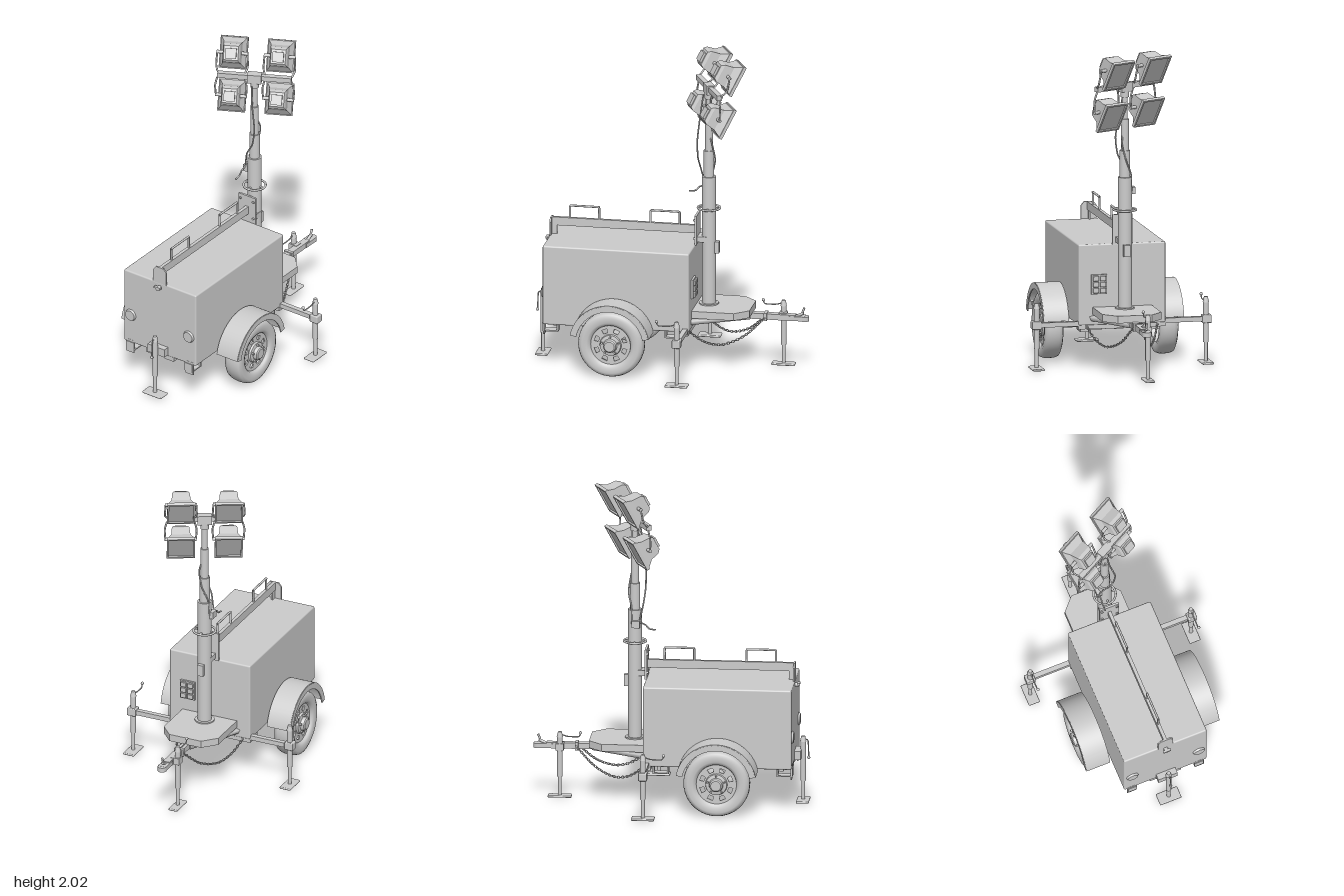
import * as THREE from 'three';
import { RoundedBoxGeometry } from 'three/addons/geometries/RoundedBoxGeometry.js';
import { toCreasedNormals } from 'three/addons/utils/BufferGeometryUtils.js';

const V = (x, y, z) => new THREE.Vector3(x, y, z);
const mat = new THREE.MeshStandardMaterial({ color: 0xcccccc, side: THREE.DoubleSide });

function add(parent, name, geo, x = 0, y = 0, z = 0) {
  const m = new THREE.Mesh(geo, mat);
  m.name = name;
  m.position.set(x, y, z);
  parent.add(m);
  return m;
}
// Box given by its limits on each axis
function box(parent, name, x0, x1, y0, y1, z0, z1) {
  return add(parent, name, new THREE.BoxGeometry(x1 - x0, y1 - y0, z1 - z0), (x0 + x1) / 2, (y0 + y1) / 2, (z0 + z1) / 2);
}
const cyl = (p, n, r0, r1, y0, y1, x, z, s = 24) =>
  add(p, n, new THREE.CylinderGeometry(r1, r0, y1 - y0, s), x, (y0 + y1) / 2, z);
// Round rod or square bar between two points
function rod(parent, name, a, b, r, sides = 12) {
  const m = add(parent, name, new THREE.CylinderGeometry(r, r, a.distanceTo(b), sides));
  m.position.copy(a).lerp(b, 0.5);
  m.quaternion.setFromUnitVectors(V(0, 1, 0), b.clone().sub(a).normalize());
  return m;
}
const tube = (p, n, pts, r, seg = 32) =>
  add(p, n, new THREE.TubeGeometry(new THREE.CatmullRomCurve3(pts, false, 'catmullrom', 0.3), seg, r, 8));
const extrude = (s, depth) => new THREE.ExtrudeGeometry(s, { depth, bevelEnabled: false, curveSegments: 32 });
const polygon = pts => new THREE.Shape(pts.map(p => new THREE.Vector2(...p)));
function group(parent, name, x = 0, y = 0, z = 0) {
  const g = new THREE.Group();
  g.name = name;
  g.position.set(x, y, z);
  parent.add(g);
  return g;
}

// Wheel with its outer face toward +x
function wheel(parent, side) {
  const g = group(parent, 'wheel', side * 0.37, 0.21, 0.315);
  g.rotation.y = side > 0 ? 0 : Math.PI;
  const prof = [[0.132, -0.05], [0.15, -0.058], [0.18, -0.061], [0.2, -0.052], [0.208, -0.03], [0.21, 0],
    [0.208, 0.03], [0.2, 0.052], [0.18, 0.061], [0.15, 0.058], [0.132, 0.05], [0.125, 0.03], [0.125, -0.03], [0.132, -0.05]];
  add(g, 'tyre', new THREE.LatheGeometry(prof.map(p => new THREE.Vector2(...p)), 56)).rotation.z = -Math.PI / 2;
  const disc = new THREE.Shape().absarc(0, 0, 0.128, 0, Math.PI * 2);
  for (let i = 0; i < 8; i++) {
    const a = (i + 0.5) * Math.PI / 4;
    const pt = (r, d) => new THREE.Vector2(r * Math.cos(a + d), r * Math.sin(a + d));
    disc.holes.push(new THREE.Path([pt(0.082, -0.17), pt(0.108, -0.17), pt(0.108, 0.17), pt(0.082, 0.17)]));
  }
  add(g, 'rim', extrude(disc, 0.01), 0.025).rotation.y = Math.PI / 2;
  const dish = [[0.07, 0], [0.066, 0.014], [0.045, 0.018], [0.04, 0.04], [0.032, 0.046], [0, 0.046]];
  add(g, 'hub', toCreasedNormals(new THREE.LatheGeometry(dish.map(p => new THREE.Vector2(...p)), 28), 0.6), 0.034).rotation.z = -Math.PI / 2;
  for (let i = 0; i < 5; i++) {
    const a = i * Math.PI * 0.4;
    add(g, 'wheelNut', new THREE.CylinderGeometry(0.007, 0.007, 0.02, 6), 0.055, 0.055 * Math.cos(a), 0.055 * Math.sin(a)).rotation.z = Math.PI / 2;
  }
}
// Arched mudguard with a lip on the outer side
function fender(parent, side) {
  const g = group(parent, 'fender', side * 0.37, 0.222, 0.315);
  g.rotation.y = side > 0 ? 0 : Math.PI;
  const arch = (r0, r1) => new THREE.Shape().absarc(0, 0, r1, 0.2, Math.PI - 0.2).absarc(0, 0, r0, Math.PI - 0.2, 0.2, true);
  add(g, 'fenderArch', toCreasedNormals(extrude(arch(0.247, 0.257), 0.16), 0.5), -0.08).rotation.y = Math.PI / 2;
  add(g, 'fenderLip', extrude(arch(0.216, 0.253), 0.008), 0.074).rotation.y = Math.PI / 2;
}
// Screw jack with foot plate and crank
function jack(parent, x, z, foot, crank) {
  const g = group(parent, 'jack', x, 0, z);
  add(g, 'jackFoot', new RoundedBoxGeometry(foot[0], 0.014, foot[1], 2, 0.006), 0, 0.014);
  cyl(g, 'jackInnerLeg', 0.012, 0.012, 0.015, 0.16, 0, 0);
  cyl(g, 'jackLeg', 0.017, 0.017, 0.14, 0.4, 0, 0);
  cyl(g, 'jackCap', 0.02, 0.012, 0.395, 0.43, 0, 0);
  tube(g, 'jackCrank', crank.map(p => V(...p)), 0.004, 16);
  add(g, 'crankKnob', new THREE.SphereGeometry(0.01, 12, 8), ...crank[crank.length - 1]);
}
// Floodlight facing -z, lofted from three rectangles, with its yoke
function floodlight(parent, x, y, z, barY) {
  const g = group(parent, 'floodlight', x, y, z);
  const lamp = group(g, 'lamp');
  lamp.rotation.x = -0.5;
  const rings = [[0.085, 0.1, 0], [0.06, 0.07, 0.05], [0.055, 0.06, 0.11], [0.046, 0.045, 0.13]];
  const pos = [], idx = [];
  for (const [w, h, d] of rings) pos.push(-w, -h, d, w, -h, d, w, h, d, -w, h, d);
  for (let r = 0; r < 3; r++) for (let i = 0; i < 4; i++) {
    const a = r * 4 + i, b = r * 4 + (i + 1) % 4;
    idx.push(a, b, b + 4, a, b + 4, a + 4);
  }
  idx.push(12, 13, 14, 12, 14, 15);
  const geo = new THREE.BufferGeometry();
  geo.setAttribute('position', new THREE.Float32BufferAttribute(pos, 3));
  geo.setIndex(idx);
  add(lamp, 'lampHousing', toCreasedNormals(geo, 0.3));
  for (const s of [-1, 1]) {
    box(lamp, 'lampFrameSide', s * 0.082 - 0.006, s * 0.082 + 0.006, -0.102, 0.102, -0.014, 0.006);
    box(lamp, 'lampFrameEdge', -0.088, 0.088, s * 0.097 - 0.006, s * 0.097 + 0.006, -0.014, 0.006);
    rod(lamp, 'lampPivot', V(s * 0.05, 0, 0.06), V(s * 0.1, 0, 0.06), 0.011);
  }
  box(lamp, 'lampGlass', -0.08, 0.08, -0.094, 0.094, -0.004, 0);
  box(lamp, 'wiringBox', -0.035, 0.035, -0.035, 0.03, 0.12, 0.145);
  const b = barY - y, py = 0.03, pz = 0.053;
  const arm = s => [V(s * 0.096, py, pz), V(s * 0.1, b * 0.55, pz * 0.7 - z * 0.3), V(s * 0.085, b * 0.88, -z * 0.9), V(s * 0.05, b, -z)];
  tube(g, 'lampYoke', [...arm(-1), ...arm(1).reverse()], 0.006, 40);
}

export function createModel() {
  const root = new THREE.Group();
  root.name = 'lightTower';

  // Cabinet, lamps and latch
  add(root, 'cabinet', new RoundedBoxGeometry(0.56, 0.515, 0.935, 3, 0.01), 0, 0.5375, 0.3075);
  for (const s of [-1, 1]) {
    add(root, 'tailLamp', new THREE.CylinderGeometry(0.034, 0.041, 0.014, 28), s * 0.225, 0.48, 0.78).rotation.x = Math.PI / 2;
    box(root, 'cornerPlate', s * 0.23 - 0.03, s * 0.23 + 0.03, 0.21, 0.3, 0.768, 0.776);
  }
  rod(root, 'doorLatch', V(0, 0.762, 0.77), V(0, 0.762, 0.802), 0.014);
  box(root, 'latchHandle', -0.025, 0.025, 0.764, 0.776, 0.79, 0.806);
  const panel = group(root, 'socketPanel', 0.15, 0.54, -0.165);
  box(panel, 'panelPlate', -0.05, 0.05, -0.062, 0.062, -0.008, 0.008);
  for (let i = 0; i < 6; i++) add(panel, 'socket', new RoundedBoxGeometry(0.038, 0.032, 0.018, 2, 0.004), (i % 2 - 0.5) * 0.046, (Math.floor(i / 2) - 1) * 0.038, -0.012);

  // Roof spine with grab handles and end plates
  box(root, 'roofSpine', -0.011, 0.011, 0.852, 0.905, -0.155, 0.77);
  for (const z of [0.56, 0.045])
    tube(root, 'grabHandle', [V(0, 0.9, z - 0.093), V(0, 0.978, z - 0.093), V(0, 0.983, z - 0.086), V(0, 0.983, z + 0.086), V(0, 0.978, z + 0.093), V(0, 0.9, z + 0.093)], 0.007, 60);
  const plate = polygon([[-0.05, 0.79], [0.05, 0.79], [0.05, 0.88], [0.03, 0.905], [-0.03, 0.905], [-0.05, 0.88]]);
  add(root, 'spineEndPlate', extrude(plate, 0.01), 0, 0, 0.766);
  box(root, 'spineGusset', -0.006, 0.006, 0.79, 0.855, 0.735, 0.77);
  box(root, 'mastPlate', -0.065, 0.065, 0.79, 0.98, -0.168, -0.154);
  for (const x of [-0.05, 0.05]) for (const y of [0.83, 0.95]) rod(root, 'plateBolt', V(x, y, -0.155), V(x, y, -0.145), 0.008, 6);
  box(root, 'mastBracket', -0.045, 0.045, 0.805, 0.84, -0.24, -0.16);

  // Underframe, axle, step loops and wheels
  box(root, 'frontCrossMember', -0.28, 0.28, 0.255, 0.29, -0.155, -0.11);
  box(root, 'rearCrossMember', -0.2, 0.2, 0.25, 0.29, 0.68, 0.72);
  rod(root, 'axle', V(-0.33, 0.215, 0.315), V(0.33, 0.215, 0.315), 0.028, 20);
  for (const s of [-1, 1]) {
    box(root, 'chassisRail', s * 0.07 - 0.035, s * 0.07 + 0.035, 0.25, 0.285, -0.15, 0.77);
    box(root, 'axleBracket', s * 0.07 - 0.038, s * 0.07 + 0.038, 0.175, 0.27, 0.265, 0.365);
    rod(root, 'axleCollar', V(s * 0.135, 0.215, 0.315), V(s * 0.165, 0.215, 0.315), 0.043, 24);
    for (const z of [0.73, -0.05]) {
      for (const e of [-1, 1]) box(root, 'stepSide', s * 0.225 - 0.03, s * 0.225 + 0.03, 0.23, 0.285, z + e * 0.046 - 0.005, z + e * 0.046 + 0.005);
      box(root, 'stepBase', s * 0.225 - 0.03, s * 0.225 + 0.03, 0.228, 0.236, z - 0.05, z + 0.05);
    }
    wheel(root, s);
    fender(root, s);
    // Outriggers with jacks
    box(root, 'outriggerBeam', Math.min(s * 0.1, s * 0.53), Math.max(s * 0.1, s * 0.53), 0.275, 0.305, -0.153, -0.122);
    add(root, 'jackClamp', new RoundedBoxGeometry(0.06, 0.052, 0.055, 2, 0.006), s * 0.548, 0.29, -0.135);
    jack(root, s * 0.545, -0.135, [0.075, 0.145], [[0, 0.415, 0], [0, 0.4, 0.05], [0, 0.4, 0.12], [0, 0.425, 0.13]]);
  }
  jack(root, 0, 0.825, [0.145, 0.08], [[0, 0.41, 0], [0, 0.4, 0.03], [0, 0.29, 0.035]]);
  box(root, 'rearJackBracket', -0.065, 0.065, 0.29, 0.345, 0.77, 0.815);
  jack(root, -0.04, -0.705, [0.06, 0.15], [[0, 0.415, 0], [0, 0.4, 0.05], [0, 0.4, 0.12], [0, 0.425, 0.13]]);
  box(root, 'tongueJackClamp', -0.06, 0, 0.31, 0.355, -0.73, -0.68);

  // Drawbar, coupler and mast platform
  box(root, 'drawbar', -0.022, 0.022, 0.315, 0.352, -0.79, -0.1);
  box(root, 'coupler', -0.028, 0.028, 0.318, 0.346, -0.85, -0.75);
  cyl(root, 'couplerHead', 0.028, 0.028, 0.315, 0.345, 0, -0.847);
  rod(root, 'couplerLever', V(0, 0.34, -0.79), V(0, 0.365, -0.84), 0.009);
  rod(root, 'couplerHandle', V(0, 0.36, -0.83), V(0, 0.4, -0.845), 0.007);
  box(root, 'drawbarCollar', -0.032, 0.032, 0.308, 0.358, -0.61, -0.59);
  for (const s of [-1, 1]) rod(root, 'drawbarBrace', V(s * 0.2, 0.325, -0.14), V(s * 0.02, 0.33, -0.5), 0.02, 4);
  const outline = k => [[-0.19 * k, 0.155], [0.19 * k, 0.155], [0.19 * k, 0.335 + 0.095 * k], [0.11 * k, 0.335 + 0.18 * k], [-0.11 * k, 0.335 + 0.18 * k], [-0.19 * k, 0.335 + 0.095 * k]];
  add(root, 'platform', extrude(polygon(outline(1)), 0.012), 0, 0.382).rotation.x = -Math.PI / 2;
  const skirt = polygon(outline(1));
  skirt.holes.push(polygon(outline(0.94).map(p => [p[0], Math.max(p[1], 0.165)])));
  add(root, 'platformSkirt', extrude(skirt, 0.036), 0, 0.348).rotation.x = -Math.PI / 2;

  // Safety chains of alternating links
  const link = new THREE.TorusGeometry(0.0075, 0.0024, 5, 9).scale(1.4, 1, 1);
  for (const s of [-1, 1]) {
    const g = group(root, 'safetyChain');
    const path = new THREE.CatmullRomCurve3([V(s * 0.23, 0.275, -0.15), V(s * 0.19, 0.2, -0.24), V(s * 0.145, 0.172, -0.34), V(s * 0.085, 0.215, -0.47), V(s * 0.03, 0.33, -0.6)]);
    for (let i = 0; i <= 36; i++) {
      const m = add(g, 'chainLink', link);
      m.position.copy(path.getPointAt(i / 36));
      m.quaternion.setFromUnitVectors(V(1, 0, 0), path.getTangentAt(i / 36));
      m.rotateX(i % 2 * Math.PI / 2);
    }
  }

  // Telescopic mast
  const mz = -0.235;
  [[0.044, 0.36, 1.23], [0.033, 1.2, 1.4], [0.025, 1.38, 1.6], [0.018, 1.58, 1.79]].forEach(([r, a, b]) => cyl(root, 'mastSection', r, r, a, b, 0, mz, 32));
  cyl(root, 'mastFoot', 0.062, 0.062, 0.39, 0.402, 0, mz, 32);
  box(root, 'mastLock', -0.02, 0.02, 0.73, 0.805, -0.302, -0.27);
  add(root, 'mastRing', new THREE.TorusGeometry(0.07, 0.007, 8, 40), 0, 1.022, mz).rotation.x = Math.PI / 2;
  rod(root, 'ringSpoke', V(-0.07, 1.022, mz), V(0.07, 1.022, mz), 0.006);
  rod(root, 'ringSpoke', V(0, 1.022, mz - 0.07), V(0, 1.022, mz + 0.07), 0.006);
  box(root, 'winch', -0.065, -0.03, 1.12, 1.165, -0.25, -0.2);
  tube(root, 'winchCrank', [V(-0.05, 1.155, -0.2), V(-0.05, 1.14, -0.165), V(-0.05, 1.115, -0.14), V(-0.05, 1.108, -0.1)], 0.005);
  tube(root, 'mastCable', [V(0.005, 1.76, -0.2), V(0.015, 1.65, -0.185), V(0.045, 1.48, -0.17), V(0.03, 1.36, -0.17), V(-0.02, 1.27, -0.18), V(-0.045, 1.17, -0.2)], 0.005, 48);
  tube(root, 'mastCable', [V(0, 1.76, -0.25), V(-0.005, 1.6, -0.215), V(0.025, 1.45, -0.26), V(0, 1.34, -0.275), V(-0.035, 1.25, -0.255), V(-0.04, 1.14, -0.25)], 0.005, 48);

  // Lamp head, turned on the mast
  const head = group(root, 'lampHead', 0, 0, mz);
  head.rotation.y = 0.48;
  box(head, 'crossbar', -0.235, 0.235, 1.795, 1.828, -0.017, 0.017);
  box(head, 'headBracket', -0.045, 0.045, 1.775, 1.835, -0.026, 0.026);
  cyl(head, 'headSocket', 0.027, 0.027, 1.74, 1.79, 0, 0);
  for (const x of [-0.15, 0.15]) {
    floodlight(head, x, 1.91, -0.115, 1.812);
    floodlight(head, x, 1.635, -0.05, 1.812);
  }
  return root;
}
